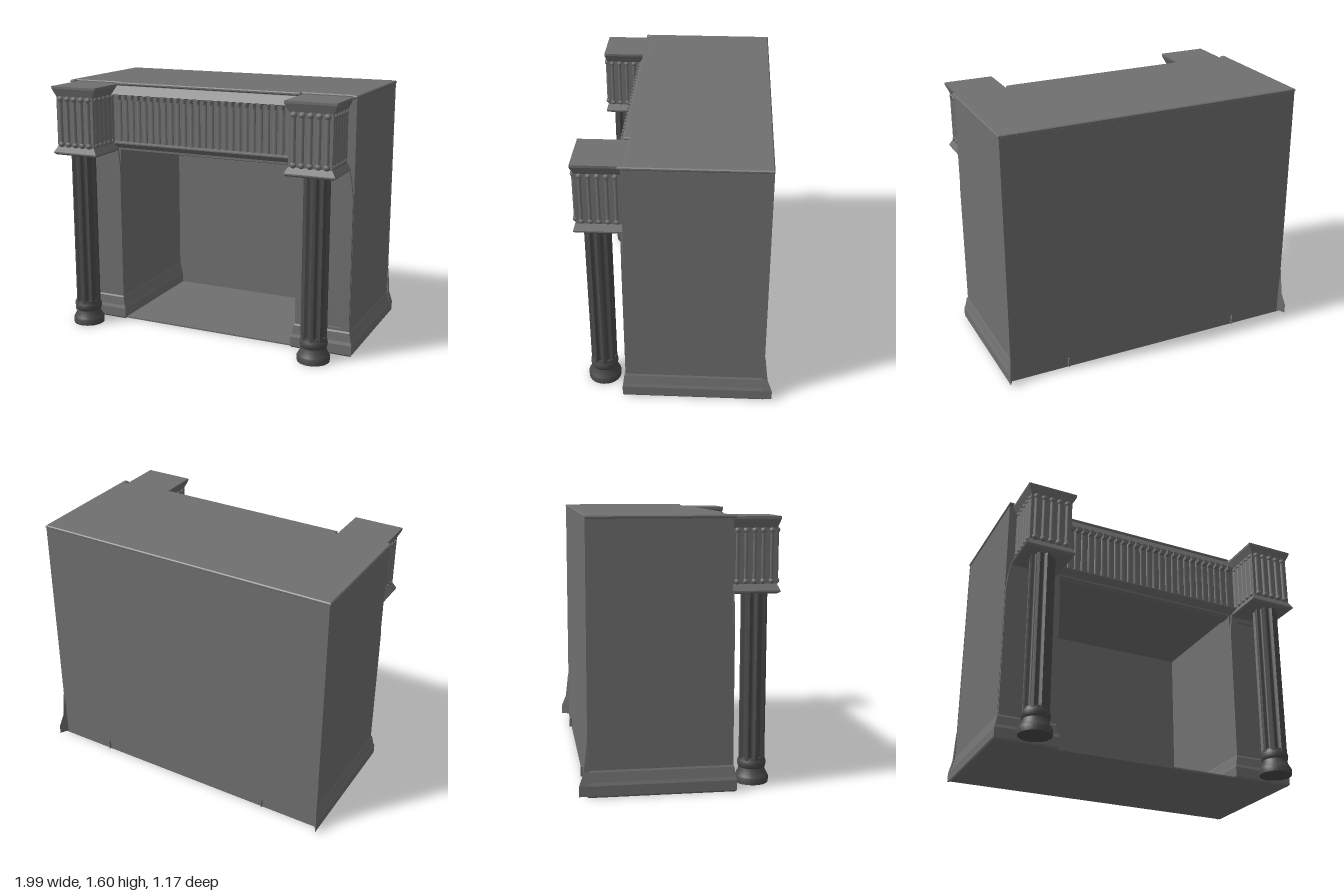
import * as THREE from 'three';
import { toCreasedNormals } from 'three/addons/utils/BufferGeometryUtils.js';

const stone = new THREE.MeshStandardMaterial({ color: 0x707070 });
const darkStone = new THREE.MeshStandardMaterial({ color: 0x4a4a4a });

function add(parent, name, geometry, x = 0, y = 0, z = 0, material = stone) {
  const mesh = new THREE.Mesh(geometry, material);
  mesh.name = name;
  mesh.position.set(x, y, z);
  parent.add(mesh);
  return mesh;
}

// Closed solid through level outlines, each { y, pts: [[x, z], ...] }, from the bottom up
function loft(rings) {
  const pos = [];
  const n = rings[0].pts.length;
  const put = (r, i) => pos.push(r.pts[i % n][0], r.y, r.pts[i % n][1]);
  for (let k = 0; k < rings.length - 1; k++) {
    const lo = rings[k], hi = rings[k + 1];
    for (let i = 0; i < n; i++) {
      put(lo, i); put(lo, i + 1); put(hi, i + 1);
      put(lo, i); put(hi, i + 1); put(hi, i);
    }
  }
  const bottom = rings[0], top = rings[rings.length - 1];
  for (let i = 1; i < n - 1; i++) {
    put(bottom, 0); put(bottom, i + 1); put(bottom, i);
    put(top, 0); put(top, i); put(top, i + 1);
  }
  const g = new THREE.BufferGeometry();
  g.setAttribute('position', new THREE.Float32BufferAttribute(pos, 3));
  g.computeVertexNormals();
  return g;
}

// Rectangular outline about x = xc
const rect = (y, xc, hw, z0, z1) => ({
  y, pts: [[xc - hw, z1], [xc + hw, z1], [xc + hw, z0], [xc - hw, z0]],
});

const polygon = (pts) => new THREE.Shape(pts.map(([x, y]) => new THREE.Vector2(x, y)));
const extrude = (shape, depth) => new THREE.ExtrudeGeometry(shape, { depth, bevelEnabled: false });

// Upright reed with a projecting knob at each end
function reed(parent, x, z, r, knob) {
  add(parent, 'reed', new THREE.CylinderGeometry(r, r, 0.29, 10), x, 1.365, z);
  for (const y of [1.22, 1.51]) {
    add(parent, 'reedKnob', new THREE.SphereGeometry(knob, 10, 6), x, y, z);
  }
}

function flutedShaft(height) {
  const pts = [], flutes = 8, steps = 10;
  for (let i = 0; i < flutes * steps; i++) {
    const a = ((i + 3.5) / (flutes * steps)) * Math.PI * 2;
    const t = (i % steps) / steps;
    const r = 0.08 - 0.018 * Math.sin(Math.PI * Math.min(1, t / 0.7));
    pts.push([r * Math.cos(a), r * Math.sin(a)]);
  }
  return toCreasedNormals(extrude(polygon(pts), height).rotateX(-Math.PI / 2), 0.7);
}

function column(s) {
  const g = new THREE.Group();
  g.name = 'column';
  g.position.set(0.8 * s, 0, 0.46);
  add(g, 'columnShaft', flutedShaft(1.03), 0, 0.13, 0, darkStone);
  const profile = [[0, 0], [0.1, 0], [0.102, 0.035], [0.096, 0.045], [0.083, 0.07], [0.077, 0.092],
    [0.083, 0.1], [0.086, 0.118], [0.083, 0.137], [0.076, 0.148], [0.076, 0.158], [0, 0.158]];
  const base = new THREE.LatheGeometry(profile.map(([x, y]) => new THREE.Vector2(x, y)), 28);
  add(g, 'columnBase', toCreasedNormals(base, 0.8), 0, 0, 0, darkStone);
  return g;
}

function capital(s) {
  const g = new THREE.Group();
  g.name = 'capital';
  g.position.x = 0.79 * s;
  const back = 0.28;
  add(g, 'capitalBlock', loft([
    rect(1.15, 0, 0.145, back, 0.565), rect(1.16, 0, 0.157, back, 0.578),
    rect(1.168, 0, 0.157, back, 0.578), rect(1.205, 0, 0.134, back, 0.562),
    rect(1.525, 0, 0.134, back, 0.562), rect(1.575, 0, 0.158, back, 0.578),
    rect(1.59, 0, 0.158, back, 0.578),
  ]));
  for (let i = 0; i < 5; i++) {
    reed(g, (i - 2) * 0.051, 0.565, 0.013, 0.02);
    for (const side of [-1, 1]) reed(g, side * 0.128, 0.33 + i * 0.05, 0.012, 0.018);
  }
  return g;
}

function pier(s) {
  const g = new THREE.Group();
  g.name = 'pier';
  const mirror = (pts) => pts.map(([x, y]) => [x * s, y]);

  // Raised frame around a sunken panel
  const frame = polygon(mirror([[0.62, 0.13], [0.972, 0.13], [0.972, 0.98], [0.96, 1.09],
    [0.945, 1.16], [0.635, 1.16], [0.62, 1.05]]));
  frame.holes.push(polygon(mirror([[0.66, 0.17], [0.92, 0.17], [0.92, 0.98], [0.905, 1.12],
    [0.675, 1.12], [0.66, 0.98]])));
  add(g, 'panelFrame', extrude(frame, 0.022), 0, 0, 0.288);

  // Moulded plinth around the foot of the pier
  const xc = 0.797 * s;
  add(g, 'plinth', loft([
    rect(0, xc, 0.193, -0.538, 0.32), rect(0.01, xc, 0.2, -0.538, 0.328),
    rect(0.07, xc, 0.2, -0.538, 0.328), rect(0.09, xc, 0.193, -0.538, 0.322),
    rect(0.145, xc, 0.182, -0.538, 0.316), rect(0.158, xc, 0.176, -0.538, 0.308),
  ]));

  // Thin flared fin at the back corner
  const fin = (y, x, z) => {
    const pts = [[0.965 * s, -0.535], [x * s, -0.53], [x * s, z]];
    return { y, pts: s > 0 ? pts : pts.reverse() };
  };
  add(g, 'plinthFin', loft([fin(0.01, 0.997, -0.59), fin(0.07, 0.997, -0.59),
    fin(0.15, 0.982, -0.56), fin(0.32, 0.977, -0.541)]));
  add(g, 'plinthNib', new THREE.BoxGeometry(0.005, 0.06, 0.02), 0.595 * s, 0.035, -0.545);
  return g;
}

export function createModel() {
  const model = new THREE.Group();
  model.name = 'fireplace';

  // Surround: two piers and a lintel in one arch, closed at the back
  const arch = polygon([[-0.974, 0], [-0.62, 0], [-0.62, 1.16], [0.62, 1.16], [0.62, 0],
    [0.974, 0], [0.974, 1.585], [-0.974, 1.585]]);
  add(model, 'surround', extrude(arch, 0.825), 0, 0, -0.53);
  add(model, 'backWall', new THREE.BoxGeometry(1.95, 1.585, 0.015), 0, 0.7925, -0.531);
  add(model, 'hearthFloor', new THREE.BoxGeometry(1.24, 0.01, 0.84), 0, 0.005, -0.115);

  // Mantel shelf with a small bevel, notched around the capitals
  const half = [[0.622, 0.305], [0.622, 0.274], [0.955, 0.274], [0.955, 0.308], [0.974, 0.308],
    [0.974, -0.534]];
  const mirrored = half.map(([x, z]) => [-x, z]).reverse();
  const shelf = new THREE.ExtrudeGeometry(polygon([...half, ...mirrored]), {
    depth: 0.008, bevelThickness: 0.006, bevelSize: 0.006, bevelSegments: 1,
  });
  add(model, 'mantelShelf', shelf.rotateX(Math.PI / 2), 0, 1.596, 0);

  // Frieze: undercut ledge below, reeded field, sloping cornice above
  add(model, 'frieze', loft([
    rect(1.152, 0, 0.66, 0.2, 0.27), rect(1.205, 0, 0.66, 0.2, 0.333),
    rect(1.212, 0, 0.66, 0.2, 0.333), rect(1.22, 0, 0.66, 0.2, 0.308),
    rect(1.515, 0, 0.66, 0.2, 0.308), rect(1.525, 0, 0.66, 0.2, 0.335),
    rect(1.58, 0, 0.66, 0.2, 0.308),
  ]));
  for (let i = 0; i < 27; i++) {
    const x = (i - 13) * 0.047;
    add(model, 'friezeReed', new THREE.CylinderGeometry(0.02, 0.02, 0.3, 16), x, 1.365, 0.295);
    add(model, 'dentil', new THREE.BoxGeometry(0.026, 0.028, 0.05), x, 1.508, 0.324);
  }

  // Supports on both sides
  for (const s of [-1, 1]) model.add(pier(s), column(s), capital(s));
  return model;
}
